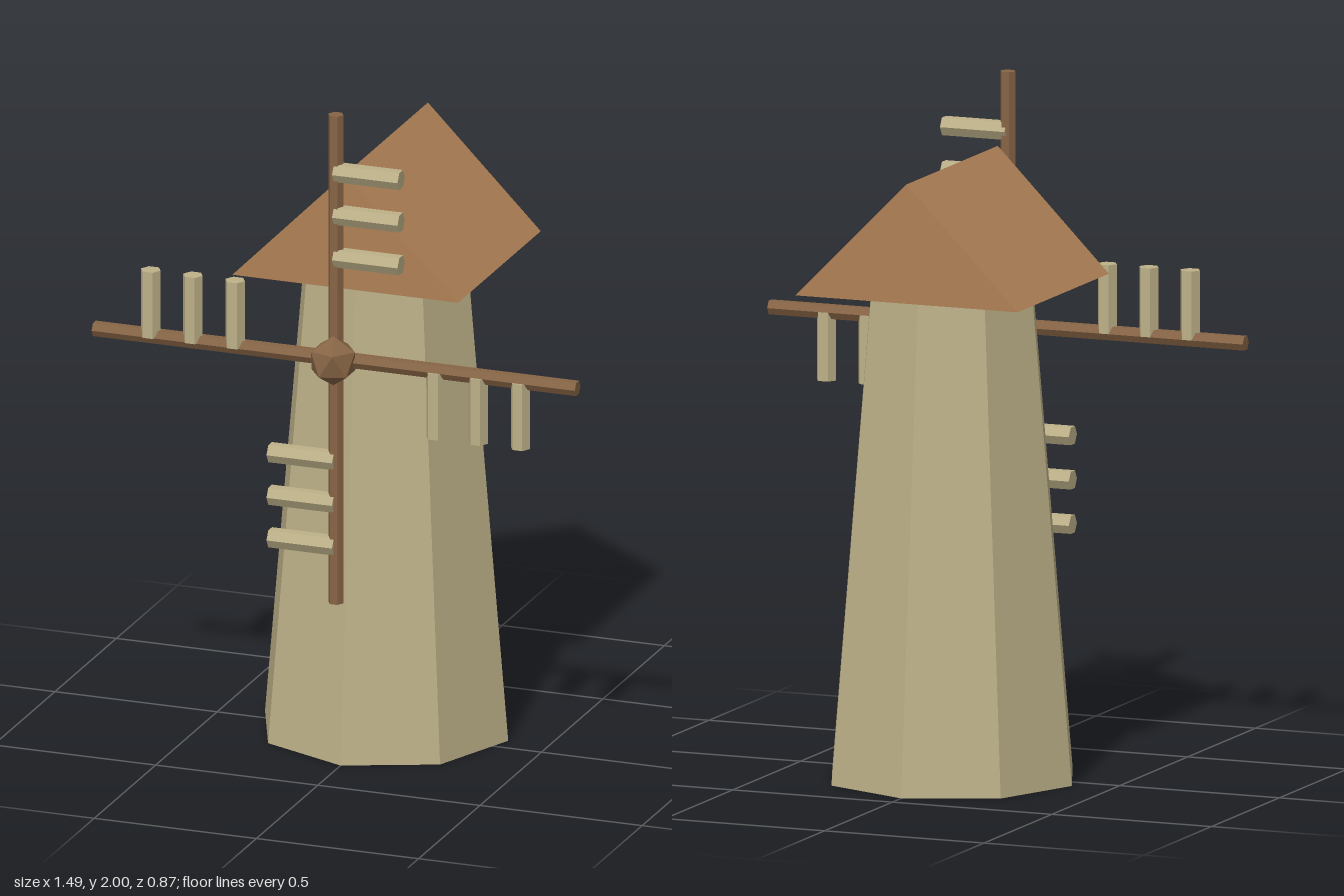
import * as THREE from 'three';

const flat = (name, color) => {
  const m = new THREE.MeshStandardMaterial({ color, flatShading: true });
  m.name = name;
  return m;
};

export function createModel() {
  const stone = flat('pale stone', 0xbcb088);
  const roofRed = flat('roof brown', 0xaf8056);
  const wood = flat('dark wood', 0x866445);

  const root = new THREE.Group();
  root.name = 'windmill';

  const add = (parent, name, geometry, material, x, y, z) => {
    const mesh = new THREE.Mesh(geometry, material);
    mesh.name = name;
    mesh.position.set(x, y, z);
    parent.add(mesh);
    return mesh;
  };

  // Tapered eight-sided tower
  add(root, 'tower', new THREE.CylinderGeometry(0.25, 0.375, 1.445, 8), stone, 0, 0.7225, -0.06);

  // Gabled roof prism
  const gable = new THREE.Shape([
    new THREE.Vector2(-0.348, 0),
    new THREE.Vector2(0.348, 0),
    new THREE.Vector2(0, 0.35),
  ]);
  const roofGeo = new THREE.ExtrudeGeometry(gable, { depth: 0.673, bevelEnabled: false });
  add(root, 'roof', roofGeo, roofRed, 0, 1.443, -0.396);

  // Sail wheel: everything is placed around the hub axis
  const sails = new THREE.Group();
  sails.name = 'sails';
  sails.position.set(0, 1.255, 0.352);
  root.add(sails);

  const hubGeo = new THREE.IcosahedronGeometry(0.075, 0);
  hubGeo.rotateZ(-Math.atan(2 / (1 + Math.sqrt(5)))); // stand it on a corner
  add(sails, 'hub', hubGeo, wood, 0, 0, 0.022);

  // Two crossed spars
  const sparGeo = new THREE.CylinderGeometry(0.023, 0.023, 1.49, 6);
  add(sails, 'verticalSpar', sparGeo, wood, 0, 0, 0).rotation.y = Math.PI / 6;
  add(sails, 'horizontalSpar', sparGeo, wood, 0, 0, 0).rotation.z = Math.PI / 2;

  // Three slats on each arm, repeated every quarter turn
  for (let i = 0; i < 4; i++) {
    const arm = new THREE.Group();
    arm.name = 'sailArm' + (i + 1);
    arm.rotation.z = -i * Math.PI / 2;
    sails.add(arm);
    const slatGeo = new THREE.CylinderGeometry(0.03, 0.03, 0.202, 6);
    if (i % 2) slatGeo.rotateY(Math.PI / 6);
    slatGeo.rotateZ(Math.PI / 2);
    for (const r of [0.31, 0.44, 0.57]) add(arm, 'slat', slatGeo, stone, 0.101, r, 0.003);
  }

  return root;
}
